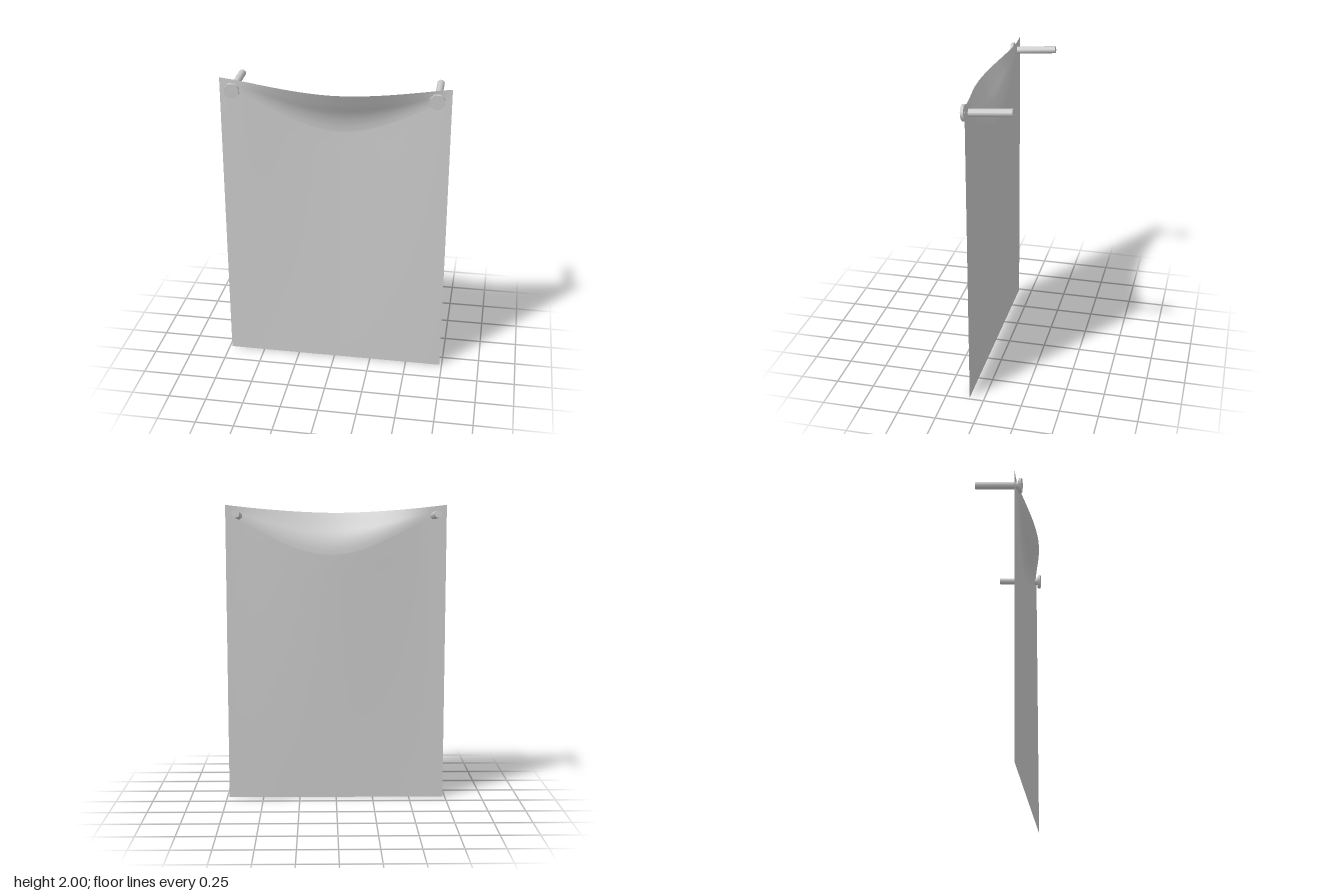
import * as THREE from 'three';

const material = new THREE.MeshStandardMaterial({ color: 0xcccccc });
const clothMaterial = new THREE.MeshStandardMaterial({ color: 0xcccccc, side: THREE.DoubleSide });
const HALF = 0.735, EDGE_Z = 0.095;

// Fold depth down from the sagging top edge (0..1) against z offset at mid width
const fold = new THREE.SplineCurve([
  [0, 0.077], [0.3, 0.036], [0.55, 0], [0.78, -0.02], [1, -0.028],
].map(([k, z]) => new THREE.Vector2(k, z)));

// Hanging sheet: pinned corners, top edge slumping forward, belly easing out to the hem
function createCloth() {
  const cols = 40, foldRows = 14, lowerRows = 14;
  const rows = foldRows + lowerRows;
  const geometry = new THREE.PlaneGeometry(2 * HALF, 2, cols, rows);
  const pos = geometry.attributes.position;
  for (let i = 0; i < pos.count; i++) {
    const x = pos.getX(i);
    const row = Math.floor(i / (cols + 1));
    const t = THREE.MathUtils.clamp((x - 0.04) / 0.68, -1, 1);
    const swell = Math.pow(Math.max(0, Math.cos(t * Math.PI / 2)), 1.35);
    const top = 2 - 0.055 * (1 - Math.pow(Math.abs(x) / HALF, 1.7));
    const depth = 0.08 + 0.2 * swell;
    let y, dz;
    if (row <= foldRows) {
      const p = fold.getPoint(row / foldRows);
      y = top - depth * p.x;
      dz = p.y;
    } else {
      const k = (row - foldRows) / lowerRows;
      y = (top - depth) * (1 - k);
      dz = -0.028 * (1 - k);
    }
    pos.setXYZ(i, x, y, EDGE_Z + dz * swell);
  }
  geometry.computeVertexNormals();
  const cloth = new THREE.Mesh(geometry, clothMaterial);
  cloth.name = 'cloth';
  return cloth;
}

// Eight-sided pin lying along z, with a flat head in front
function createPin(name, x) {
  const pin = new THREE.Group();
  pin.name = name;
  const addPart = (partName, radius, zBack, zFront) => {
    const geometry = new THREE.CylinderGeometry(radius, radius, zFront - zBack, 8, 1, false, Math.PI / 8);
    geometry.rotateX(Math.PI / 2);
    geometry.translate(0, 0, (zFront + zBack) / 2);
    const part = new THREE.Mesh(geometry, material);
    part.name = partName;
    pin.add(part);
  };
  addPart('pinShaft', 0.024, -0.296, 0);
  addPart('pinHead', 0.051, -0.009, 0.01);
  pin.position.set(x, 1.925, 0.124);
  pin.rotation.x = 0.077;
  return pin;
}

export function createModel() {
  const model = new THREE.Group();
  model.name = 'pinnedCloth';
  model.add(createCloth(), createPin('leftPin', 0.645), createPin('rightPin', -0.65));
  return model;
}
